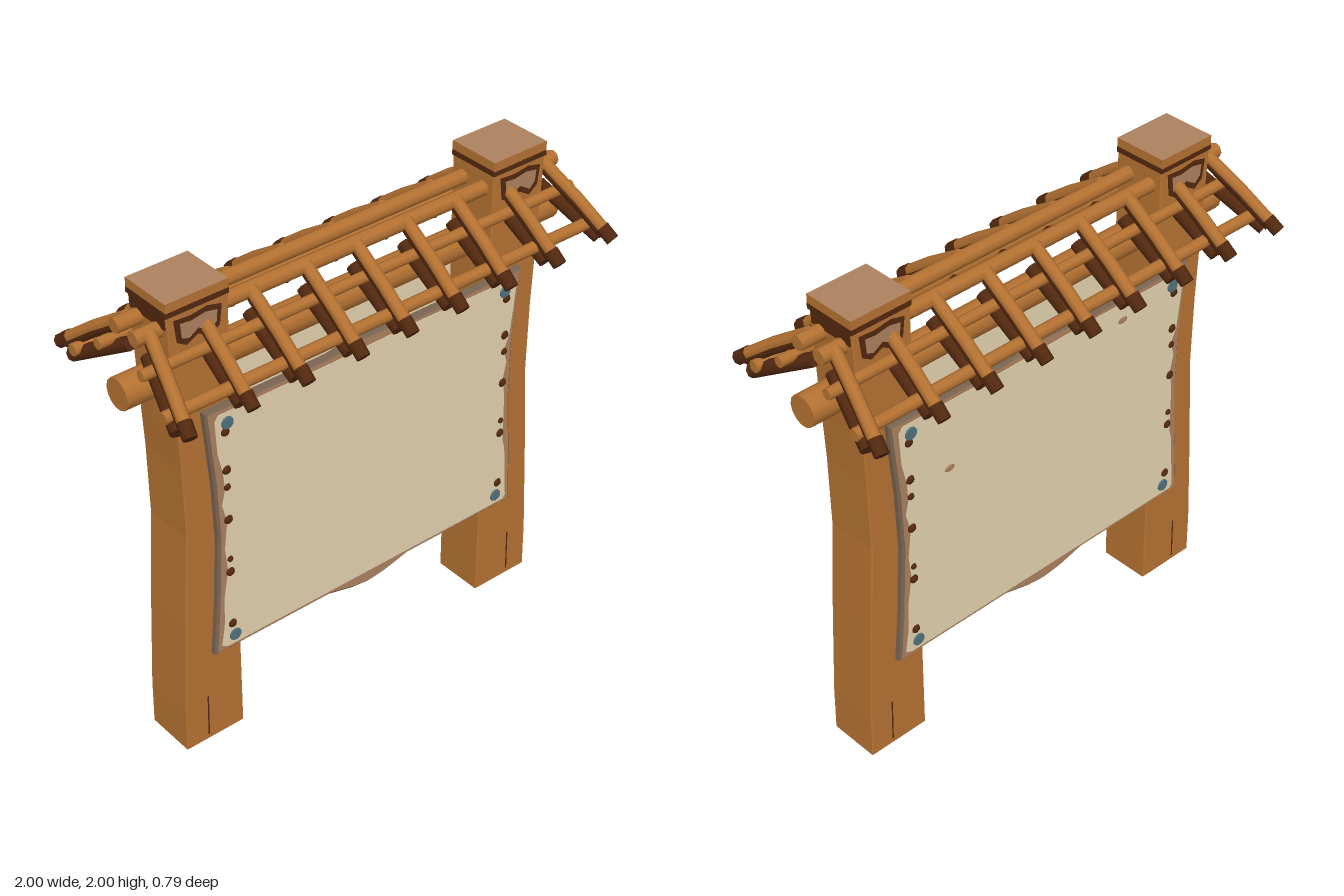
import * as THREE from 'three';

const mat = (name, color, side = THREE.FrontSide) => {
  const m = new THREE.MeshStandardMaterial({ color, side });
  m.name = name;
  return m;
};

export function createModel() {
  const wood = mat('wood', 0xb57232);
  const bark = mat('dark bark', 0x52280f);
  const tan = mat('worn wood', 0xac825f);
  const edge = mat('board edge', 0x786350);
  const paper = mat('parchment', 0xe4d2ae, THREE.DoubleSide);
  const teal = mat('teal stud', 0x52727c);

  const model = new THREE.Group();
  model.name = 'noticeBoard';
  const add = (parent, name, geo, material, x = 0, y = 0, z = 0) => {
    const m = new THREE.Mesh(geo, material);
    m.name = name;
    m.position.set(x, y, z);
    parent.add(m);
    return m;
  };
  const V = (x, y, z) => new THREE.Vector3(x, y, z);

  // Round log between two points, slightly tapered
  const log = (parent, name, a, b, r0, r1, material, sides = 8) => {
    const dir = b.clone().sub(a);
    const m = add(parent, name, new THREE.CylinderGeometry(r1, r0, dir.length(), sides), material);
    m.position.copy(a).add(b).multiplyScalar(0.5);
    m.quaternion.setFromUnitVectors(V(0, 1, 0), dir.normalize());
  };
  const shapeOf = (pts) => new THREE.Shape(pts.map(([x, y]) => new THREE.Vector2(x, y)));

  // Posts: straight inside, waisted outside, with a dark band and worn cap
  const stainGeo = new THREE.ShapeGeometry(shapeOf([[-0.1, 0.04], [-0.09, -0.05], [-0.05, -0.075], [0, -0.05],
    [0.05, -0.08], [0.09, -0.05], [0.1, 0.03], [0.04, 0.045], [-0.03, 0.035]]));
  const wornGeo = new THREE.ShapeGeometry(shapeOf([[-0.075, 0.02], [-0.07, -0.04], [-0.04, -0.05], [0, -0.025],
    [0.05, -0.055], [0.075, -0.03], [0.08, 0.015], [0.03, 0.025], [-0.03, 0.015]]));
  for (const s of [-1, 1]) {
    const post = new THREE.Group();
    post.name = s > 0 ? 'leftPost' : 'rightPost';
    model.add(post);
    const outer = [[0.872, 0], [0.87, 0.2], [0.85, 0.6], [0.825, 1], [0.83, 1.3], [0.847, 1.65], [0.86, 1.95]];
    let pts = [[0.605, 0], ...outer, [0.605, 1.95]].map(([x, y]) => [x * s, y]);
    if (s < 0) pts = pts.reverse();
    const geo = new THREE.ExtrudeGeometry(shapeOf(pts), {
      depth: 0.212, bevelEnabled: true, bevelThickness: 0.006, bevelSize: 0.005, bevelOffset: -0.005, bevelSegments: 1,
    });
    add(post, 'shaft', geo, wood, 0, 0, -0.106);
    add(post, 'band', new THREE.BoxGeometry(0.262, 0.022, 0.226), bark, s * 0.734, 1.953, 0);
    const cap = new THREE.BoxGeometry(0.26, 0.038, 0.226);
    add(post, 'cap', cap, [wood, wood, tan, wood, wood, wood], s * 0.734, 1.981, 0);
    // Dark stains with worn centres where the roof meets the post
    add(post, 'sideStain', new THREE.BoxGeometry(0.008, 0.05, 0.2), bark, s * 0.857, 1.915, 0);
    for (const f of [-1, 1]) {
      const face = new THREE.Group();
      face.name = 'stainedFace';
      face.position.set(s * 0.735, 1.885, 0);
      face.rotation.y = f > 0 ? 0 : Math.PI;
      post.add(face);
      add(face, 'stain', stainGeo, bark, 0, 0, 0.1135);
      add(face, 'wornPatch', wornGeo, tan, 0, 0, 0.116);
      const crack = add(post, 'crack', new THREE.BoxGeometry(0.006, 0.19, 0.004), bark, s * 0.77, 0.12, f * 0.111);
      crack.rotation.z = 0.02 * s;
    }
  }

  // Notice panels, one on each face
  const boardPts = [[-0.745, 0.425], [-0.2, 0.425], [-0.08, 0.395], [0, 0.386], [0.08, 0.395], [0.2, 0.425], [0.74, 0.425],
    [0.73, 0.65], [0.71, 0.95], [0.712, 1.2], [0.742, 1.52], [0.2, 1.52], [0.08, 1.535], [0, 1.539], [-0.08, 1.535],
    [-0.2, 1.52], [-0.747, 1.52], [-0.718, 1.2], [-0.708, 0.95], [-0.725, 0.65]];
  const paperPts = [[-0.715, 0.46], [-0.69, 0.445], [0.7, 0.445], [0.712, 0.46], [0.705, 0.55], [0.695, 0.7], [0.682, 0.75],
    [0.68, 0.95], [0.668, 1.05], [0.682, 1.12], [0.665, 1.18], [0.69, 1.24], [0.705, 1.36], [0.715, 1.47], [0.7, 1.492],
    [0.2, 1.498], [-0.2, 1.492], [-0.69, 1.495], [-0.708, 1.47], [-0.7, 1.33], [-0.68, 1.24], [-0.675, 1.16],
    [-0.69, 1.1], [-0.67, 1.02], [-0.685, 0.9], [-0.675, 0.8], [-0.695, 0.68], [-0.7, 0.55]];
  const boardGeo = new THREE.ExtrudeGeometry(shapeOf(boardPts), {
    depth: 0.02, bevelEnabled: true, bevelThickness: 0.008, bevelSize: 0.01, bevelOffset: -0.01, bevelSegments: 1,
  });
  const paperGeo = new THREE.ExtrudeGeometry(shapeOf(paperPts), { depth: 0.004, bevelEnabled: false });
  const nailGeo = new THREE.SphereGeometry(1, 8, 6);
  const studGeo = new THREE.CylinderGeometry(0.025, 0.027, 0.008, 10).rotateX(Math.PI / 2);
  const nails = [[1.415, 0.019], [1.25, 0.019], [1.175, 0.015], [1.03, 0.019], [0.85, 0.013], [0.79, 0.019], [0.545, 0.019]];
  for (const f of [1, -1]) {
    const panel = new THREE.Group();
    panel.name = f > 0 ? 'frontPanel' : 'backPanel';
    panel.rotation.y = f > 0 ? 0 : Math.PI;
    model.add(panel);
    add(panel, 'board', boardGeo, [tan, edge], 0, 0, 0.115);
    add(panel, 'parchment', paperGeo, paper, 0, 0, 0.141);
    add(panel, 'innerParchment', paperGeo, paper, 0, 0, 0.104);
    for (const s of [-1, 1]) {
      for (const [y, r] of nails) add(panel, 'nail', nailGeo, bark, s * 0.665, y, 0.144).scale.set(r, r, 0.012);
      for (const y of [1.45, 0.487]) add(panel, 'stud', studGeo, teal, s * 0.655, y, 0.147);
    }
    // Small spots on the back sheet only
    const spots = f < 0 ? [[-0.48, 1.2], [0.39, 1.42]] : [];
    for (const [x, y] of spots) add(panel, 'spot', nailGeo, tan, x, y, 0.145).scale.set(0.024, 0.014, 0.002);
  }

  // Roof: main beam, long rails and paired rafters
  const roof = new THREE.Group();
  roof.name = 'roof';
  model.add(roof);
  log(roof, 'mainBeam', V(-1, 1.645, 0), V(1, 1.645, 0), 0.062, 0.062, wood, 14);
  const rafterX = [-0.71, -0.475, -0.235, -0.01, 0.225, 0.46, 0.7];
  for (const f of [-1, 1]) {
    log(roof, 'ridgeRail', V(-0.96, 1.875, f * 0.055), V(0.96, 1.875, f * 0.055), 0.03, 0.03, wood);
    log(roof, 'middleRail', V(-0.985, 1.777, f * 0.125), V(0.99, 1.777, f * 0.125), 0.022, 0.022, wood);
    log(roof, 'lowerRail', V(-1, 1.688, f * 0.262), V(0.995, 1.688, f * 0.262), 0.024, 0.024, wood);

    // Upper rafter with dark underside and tip, over a dark lower rafter
    const rafter = (x0, x1) => {
      const at = (t, y0, y1, z0, z1) => V(x0 + (x1 - x0) * t, y0 + (y1 - y0) * t, f * (z0 + (z1 - z0) * t));
      const up = (t, drop = 0) => at(t, 1.879 - drop, 1.662 - drop, 0.07, 0.37).add(V(0, 0.008 * Math.sin(t * Math.PI), 0));
      log(roof, 'rafter', up(-0.03), up(0.5), 0.025, 0.025, wood);
      log(roof, 'rafter', up(0.48), up(0.9), 0.025, 0.025, wood);
      log(roof, 'rafterUnderside', up(0.02, 0.016), up(0.5, 0.016), 0.025, 0.025, bark);
      log(roof, 'rafterUnderside', up(0.48, 0.016), up(0.9, 0.016), 0.025, 0.025, bark);
      log(roof, 'rafterTip', up(0.86), up(1.02), 0.028, 0.027, bark);
      log(roof, 'underRafter', at(0, 1.783, 1.641, 0.05, 0.305), at(1, 1.783, 1.641, 0.05, 0.305), 0.027, 0.029, bark);
    };
    for (const x of rafterX) rafter(x + (Math.abs(x) > 0.6 ? -0.015 * Math.sign(x) : 0), x);
    for (const s of [-1, 1]) rafter(s * 0.9, s * 0.972);
  }
  return model;
}
